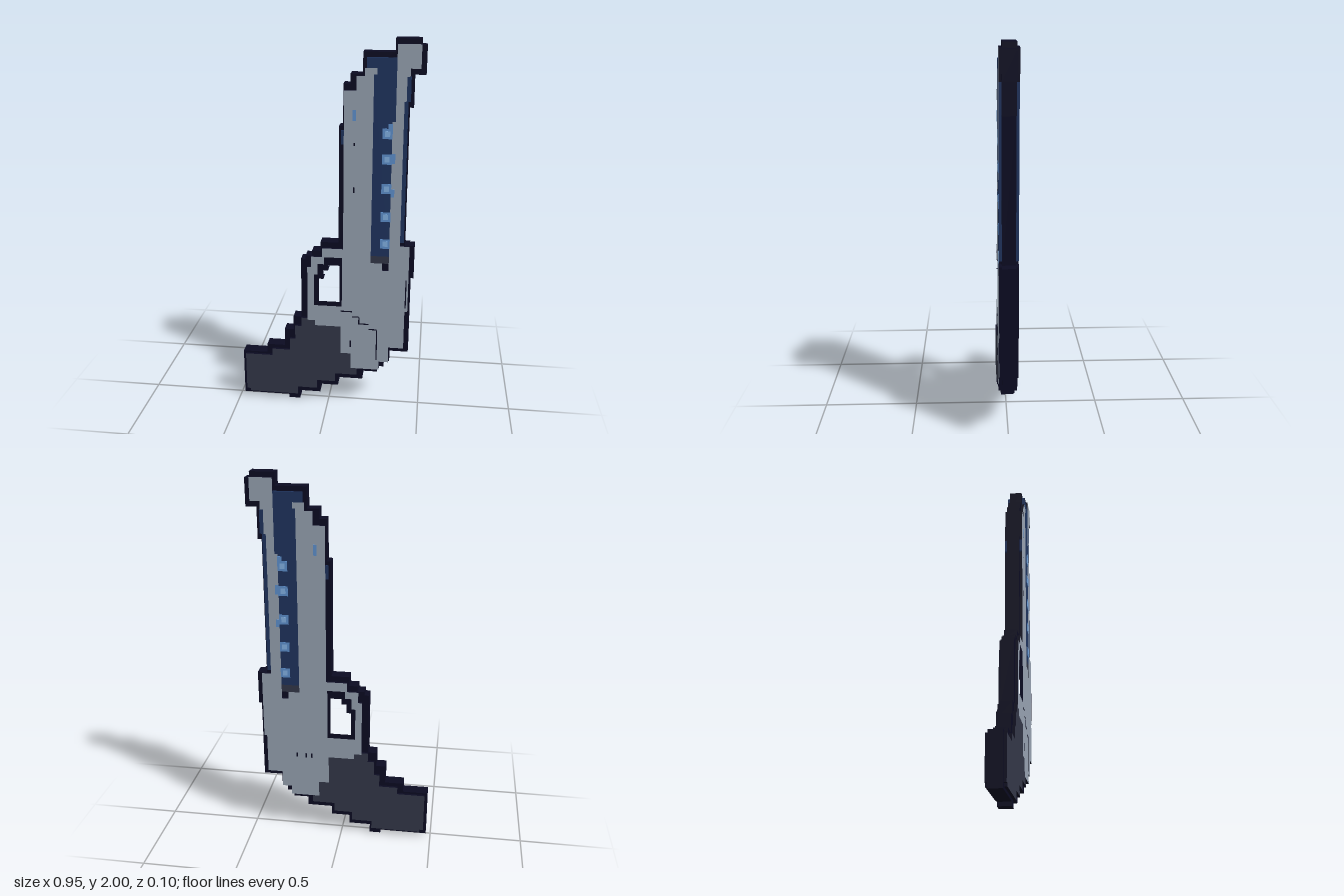
import * as THREE from 'three';

const mat = (name, color) => {
  const m = new THREE.MeshStandardMaterial({ color });
  m.name = name;
  return m;
};

// Corners of a stepped outline: start x, y, then alternating new y, new x, new y ...
function steps([x, y, ...rest]) {
  const pts = [new THREE.Vector2(x, y)];
  rest.forEach((v, i) => {
    if (i % 2 === 0) y = v; else x = v;
    pts.push(new THREE.Vector2(x, y));
  });
  return pts;
}

// Slab centred on z = 0, cut from a stepped outline
function slab(name, outline, depth, materials, hole) {
  const shape = new THREE.Shape(steps(outline));
  if (hole) shape.holes.push(new THREE.Path(steps(hole)));
  const geo = new THREE.ExtrudeGeometry(shape, { depth, bevelEnabled: false });
  geo.translate(0, 0, -depth / 2);
  const mesh = new THREE.Mesh(geo, materials);
  mesh.name = name;
  return mesh;
}

export function createModel() {
  const outline = mat('outline black', 0x0b0b22);
  const steel = mat('steel grey', 0x98a4b3);
  const navy = mat('navy', 0x1f345f);
  const gripGrey = mat('grip charcoal', 0x343849);
  const blue = mat('blue', 0x5f92d0);
  const pale = mat('pale blue', 0x86b6ea);

  const model = new THREE.Group();
  model.name = 'pixelPistol';
  const CORE = 0.068, FACE = 0.096;

  // Dark core forming the border all round, with the trigger opening
  model.add(slab('outlineCore', [
    -0.475, 0.02, 0.28, -0.34, 0.33, -0.24, 0.43, -0.19, 0.51, -0.145, 0.85, -0.12, 0.87,
    -0.085, 0.9, -0.04, 0.95, 0.055, 1.57, 0.075, 1.78, 0.11, 1.83, 0.17, 1.935, 0.325, 2,
    0.45, 1.97, 0.475, 1.83, 0.42, 1.67, 0.4, 0.95, 0.45, 0.77, 0.435, 0.335, 0.335, 0.27,
    0.305, 0.235, 0.27, 0.2, 0.19, 0.15, 0.055, 0.1, -0.045, 0.05, -0.16, 0, -0.22, 0.02,
  ], CORE, outline,
  [-0.05, 0.61, 0.74, -0.025, 0.79, 0, 0.82, 0.06, 0.61]));

  // Raised steel frame: barrel, guard, receiver and sight
  model.add(slab('steelFrame', [
    0.125, 0.22, 0.31, 0.07, 0.47, -0.07, 0.5, -0.11, 0.81, -0.09, 0.87, -0.03, 0.92,
    0.08, 1.75, 0.14, 1.82, 0.18, 1.86, 0.24, 1.83, 0.225, 0.89, 0.225, 0.85, 0.285, 0.81,
    0.32, 1.6, 0.335, 1.975, 0.45, 1.86, 0.4, 1.82, 0.385, 1.7, 0.375, 0.95,
    0.425, 0.58, 0.41, 0.36, 0.33, 0.27, 0.28, 0.22,
  ], FACE, [steel, outline],
  [-0.075, 0.59, 0.77, -0.055, 0.83, -0.02, 0.87, 0.075, 0.59]));

  // Raised grip
  model.add(slab('grip', [
    -0.46, 0.05, 0.27, -0.31, 0.31, -0.21, 0.38, -0.18, 0.46, -0.145, 0.51, -0.11, 0.5,
    -0.07, 0.47, 0.07, 0.31, 0.125, 0.22, 0.16, 0.18, 0.04, 0.13, -0.06, 0.08,
    -0.17, 0.035, -0.44, 0.05,
  ], FACE, [gripGrey, outline]));

  // Navy barrel channel, its charcoal foot and the navy edge trims
  model.add(slab('barrelChannel', [
    0.225, 0.89, 1.83, 0.24, 1.86, 0.19, 1.91, 0.335, 1.6, 0.32, 0.89,
  ], FACE, navy));
  model.add(slab('channelFoot', [0.225, 0.85, 0.89, 0.32, 0.85], FACE, gripGrey));
  model.add(slab('frontEdgeTrim', [0.375, 0.97, 1.7, 0.394, 0.97], FACE, navy));
  model.add(slab('sightTrim', [0.385, 1.7, 1.82, 0.405, 1.7], FACE, navy));
  model.add(slab('rearEdgeTrim', [0.066, 1.48, 1.55, 0.08, 1.48], FACE, navy));

  // Thin plates on both faces (or only the front)
  function plate(name, x0, x1, y0, y1, material, sides = [1, -1], thick = 0.002) {
    for (const s of sides) {
      const m = new THREE.Mesh(new THREE.BoxGeometry(x1 - x0, y1 - y0, thick), material);
      m.position.set((x0 + x1) / 2, (y0 + y1) / 2, s * (FACE / 2 + thick / 2 - 0.0005));
      m.name = name;
      model.add(m);
    }
  }

  // Row of blue vents with a pale centre
  for (const y of [1.54, 1.41, 1.257, 1.107, 0.96]) {
    plate('vent', 0.272, 0.322, y - 0.026, y + 0.026, blue);
    plate('ventGlint', 0.285, 0.31, y - 0.014, y + 0.014, pale, [1, -1], 0.003);
  }
  plate('ventTab', 0.3, 0.322, 1.565, 1.59, blue);
  plate('ventTab', 0.32, 0.338, 1.39, 1.44, blue);
  plate('ventTab', 0.32, 0.338, 1.215, 1.255, blue);
  plate('barrelMark', 0.122, 0.14, 1.6, 1.655, blue);

  // Fine dark engraved lines
  const lines = [
    [0.128, 0.136, 1.475, 1.49], [0.128, 0.136, 1.23, 1.26],
    [0.07, 0.13, 0.56, 0.566], [0.13, 0.165, 0.53, 0.536], [0.165, 0.171, 0.49, 0.53],
    [0.171, 0.22, 0.49, 0.496], [0.22, 0.265, 0.46, 0.466], [0.262, 0.268, 0.28, 0.46],
    [0.12, 0.126, 0.35, 0.39], [0.41, 0.416, 0.6, 0.76],
  ];
  for (const [a, b, c, d] of lines) plate('engravedLine', a, b, c, d, outline, [1]);
  for (const x of [0.16, 0.19, 0.24]) plate('rearSpeck', x, x + 0.008, 0.46, 0.485, outline, [-1]);

  return model;
}
